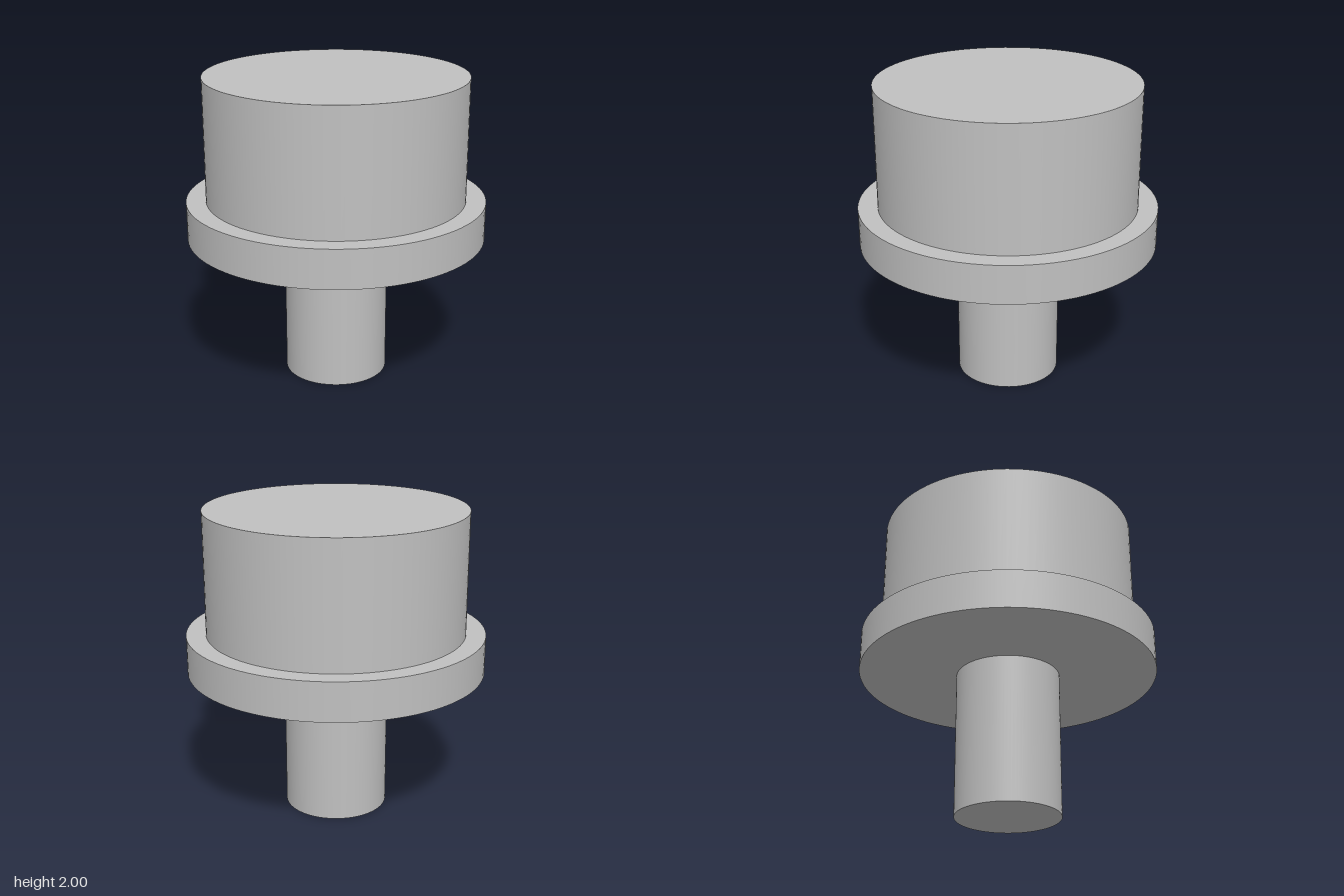
import * as THREE from 'three';

export function createModel() {
  const group = new THREE.Group();
  const metal = new THREE.MeshStandardMaterial({ color: 0xc0c0c0 });
  metal.name = 'light grey metal';

  // Upright round section between two heights
  const addDisc = (name, radius, bottom, top) => {
    const height = top - bottom;
    const mesh = new THREE.Mesh(new THREE.CylinderGeometry(radius, radius, height, 96), metal);
    mesh.name = name;
    mesh.position.y = bottom + height / 2;
    group.add(mesh);
  };

  addDisc('stem', 0.336, 0, 0.95);
  addDisc('flange', 0.967, 0.95, 1.2);
  addDisc('head', 0.84, 1.2, 2);

  return group;
}
